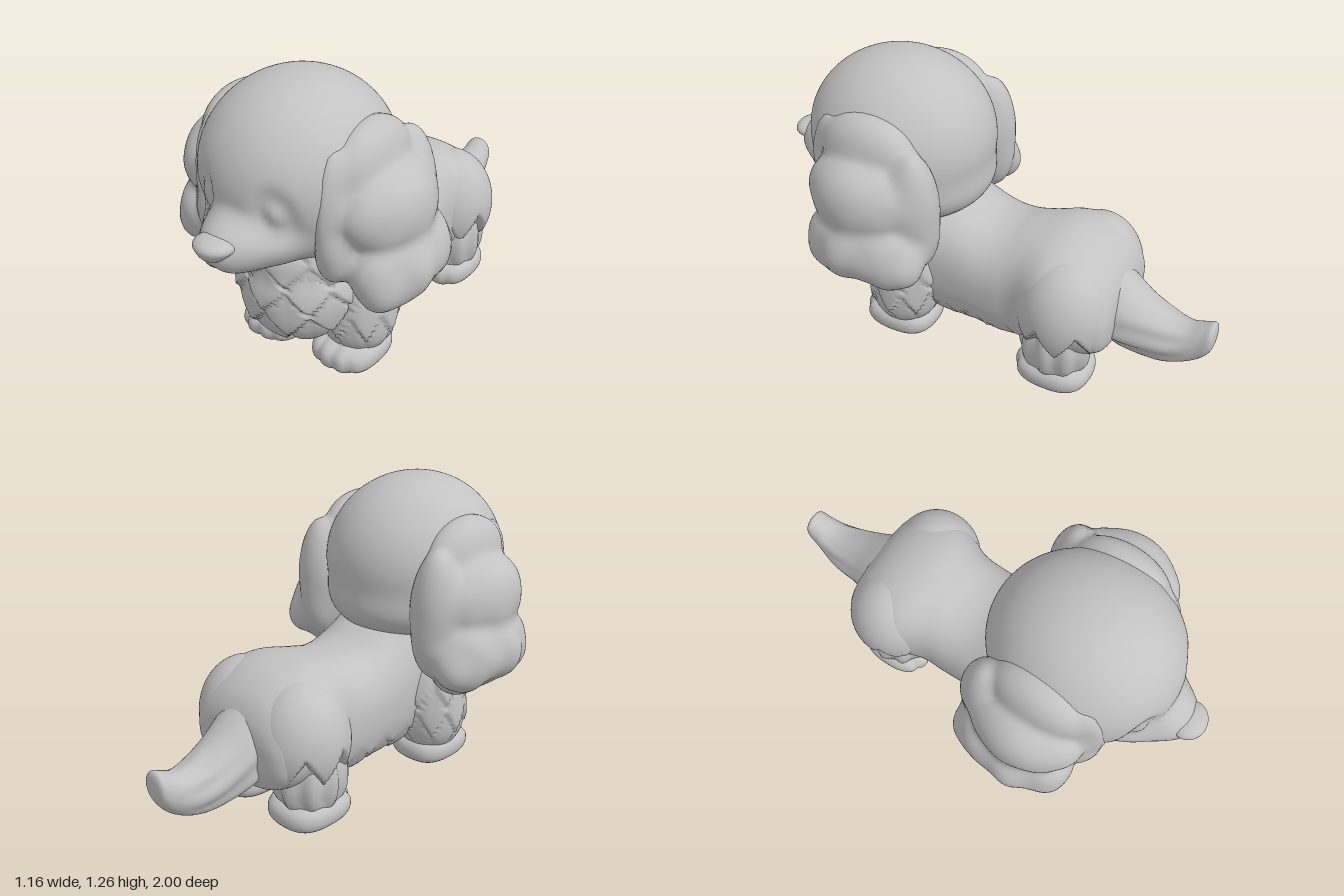
import * as THREE from 'three';
import { mergeVertices } from 'three/addons/utils/BufferGeometryUtils.js';

const { abs, sin, cos, exp, PI, hypot, atan2, sign, floor, min, max } = Math;
const clay = new THREE.MeshStandardMaterial({ color: 0xc2c2c2 });
clay.name = 'clay grey';

const frac = (t) => t - floor(t);
const smooth = (a, b, t) => THREE.MathUtils.smoothstep(t, a, b);

// Staggered rows of pointed tufts, upper over lower: u runs around, v downwards, result 0..1
function tufts(u, v) {
  for (let n = floor(v) - 1; ; n++) {
    const tip = abs(2 * frac(u + n / 2) - 1) ** 0.8;
    const left = n + 0.85 * tip - v;
    if (left > 0) return min(left / 0.2, max(1 - left / 1.8, 0)) * (0.5 + 0.5 * tip);
  }
}

function finish(name, geometry) {
  geometry.deleteAttribute('uv');
  geometry.deleteAttribute('normal');
  const merged = mergeVertices(geometry, 1e-5);
  merged.computeVertexNormals();
  const mesh = new THREE.Mesh(merged, clay);
  mesh.name = name;
  return mesh;
}

// Approximate distance to an ellipsoid [cx, cy, cz, rx, ry, rz]
function ellipsoid([cx, cy, cz, rx, ry, rz], p) {
  const x = (p.x - cx) / rx, y = (p.y - cy) / ry, z = (p.z - cz) / rz;
  const k0 = hypot(x, y, z), k1 = hypot(x / rx, y / ry, z / rz);
  return k1 < 1e-6 ? -min(rx, ry, rz) : (k0 * (k0 - 1)) / k1;
}

// Sphere stretched from a centre onto softly blended ellipsoids, plus surface relief
function blob(name, centre, parts, k, segs, relief = () => 0) {
  const g = new THREE.SphereGeometry(1, segs, floor(segs * 0.75));
  const pos = g.attributes.position, c = new THREE.Vector3(...centre);
  const d = new THREE.Vector3(), p = new THREE.Vector3();
  const field = (t) => {
    p.copy(c).addScaledVector(d, t);
    return parts.map((e) => ellipsoid(e, p)).reduce((a, b) => {
      const h = max(k - abs(a - b), 0) / k;
      return min(a, b) - h * h * k * 0.25;
    });
  };
  for (let i = 0; i < pos.count; i++) {
    d.fromBufferAttribute(pos, i).normalize();
    let lo = 0, hi = 1;
    for (let n = 0; n < 22; n++) {
      const t = (lo + hi) / 2;
      if (field(t) < 0) lo = t; else hi = t;
    }
    p.copy(c).addScaledVector(d, lo);
    p.addScaledVector(d, relief(p));
    pos.setXYZ(i, p.x, p.y, p.z);
  }
  return finish(name, g);
}

// Skin through cross-sections [z, top, bottom, halfWidth], front to back
function loft(name, sections, power, rows, cols, relief) {
  const at = (t) => {
    const f = min(t * (sections.length - 1), sections.length - 1 - 1e-6), i = floor(f), w = f - i;
    const s = (n) => sections[min(max(n, 0), sections.length - 1)];
    return [0, 1, 2, 3].map((c) => {
      const [a, b, e, g] = [s(i - 1)[c], s(i)[c], s(i + 1)[c], s(i + 2)[c]];
      return b + 0.5 * w * (e - a + w * (2 * a - 5 * b + 4 * e - g + w * (3 * (b - e) + g - a)));
    });
  };
  const verts = [], index = [];
  for (let i = 0; i <= rows; i++) {
    const [z, top, bottom, w] = at(i / rows);
    for (let j = 0; j <= cols; j++) {
      const a = ((j % cols) / cols) * PI * 2, e = 2 / power;
      const x = max(w, 0) * sign(cos(a)) * abs(cos(a)) ** e;
      const dy = ((top - bottom) / 2) * sign(sin(a)) * abs(sin(a)) ** e;
      const mid = (top + bottom) / 2, s = 1 + relief(x, mid + dy, z, a);
      verts.push(x * s, mid + dy * s, z);
      if (i < rows && j < cols) {
        const q = i * (cols + 1) + j, r = q + cols + 1;
        index.push(q, r, q + 1, q + 1, r, r + 1);
      }
    }
  }
  const g = new THREE.BufferGeometry();
  g.setAttribute('position', new THREE.Float32BufferAttribute(verts, 3));
  g.setIndex(index);
  return finish(name, g);
}

// Flat-soled paw with toe grooves at the front
function paw(name, x, z) {
  const g = new THREE.SphereGeometry(1, 56, 24), pos = g.attributes.position;
  for (let i = 0; i < pos.count; i++) {
    const [a, b, c] = [pos.getX(i), pos.getY(i), pos.getZ(i)];
    const n = (abs(a) ** 3 + abs(b) ** 3 + abs(c) ** 3) ** (1 / 3);
    const px = (a / n) * sign(x);
    const groove = [-0.45, 0.08, 0.6].reduce((s, o) => s + exp(-(((px - o) / 0.1) ** 2)), 0);
    const dent = 1 - 0.07 * groove * smooth(0.2, 0.6, c), r = dent / (0.7 * n + 0.3);
    pos.setXYZ(i, x + a * r * 0.145, 0.07 + (b / n) * 0.07 * (b > 0 ? dent : 1), z + c * r * 0.167);
  }
  return finish(name, g);
}

export function createModel() {
  const model = new THREE.Group();
  model.name = 'dog';
  const add = (mesh) => model.add(mesh);

  // Long body with a furry belly fringe
  add(loft('body', [
    [0.66, 0.45, 0.45, 0], [0.64, 0.6, 0.28, 0.13], [0.56, 0.7, 0.19, 0.22], [0.45, 0.74, 0.14, 0.25],
    [0.25, 0.74, 0.1, 0.265], [0.12, 0.67, 0.09, 0.26], [0, 0.617, 0.1, 0.26], [-0.1, 0.61, 0.09, 0.26],
    [-0.2, 0.633, 0.1, 0.265], [-0.33, 0.655, 0.14, 0.315], [-0.45, 0.63, 0.16, 0.315],
    [-0.54, 0.575, 0.17, 0.285], [-0.59, 0.51, 0.2, 0.25], [-0.612, 0.44, 0.27, 0.18], [-0.616, 0.36, 0.36, 0],
  ], 2.4, 90, 72, (x, y, z) => 0.1 * (1 - smooth(0.14, 0.27, y)) * (tufts(z * 7, -y * 9 - abs(x) * 3) - 0.4)));

  // Chest bib of layered tufts
  add(blob('chestFur', [0, 0.42, 0.45], [
    [0, 0.4, 0.45, 0.265, 0.24, 0.245], [0, 0.56, 0.46, 0.22, 0.15, 0.23], [0, 0.31, 0.48, 0.2, 0.155, 0.19],
  ], 0.05, 104, (p) => 0.034 * smooth(0.4, 0.55, p.z) * (tufts(atan2(p.x, p.z - 0.3) * 2.1, -p.y * 9) - 0.35)));

  // Tail sweeping back to an upturned tip
  add(loft('tail', [
    [-0.48, 0.4, 0.4, 0], [-0.5, 0.57, 0.24, 0.14], [-0.6, 0.5, 0.18, 0.145], [-0.7, 0.425, 0.16, 0.125],
    [-0.8, 0.375, 0.155, 0.105], [-0.88, 0.362, 0.17, 0.085], [-0.94, 0.383, 0.205, 0.07],
    [-0.98, 0.4, 0.25, 0.062], [-0.996, 0.38, 0.29, 0.045], [-1, 0.335, 0.335, 0],
  ], 2.1, 56, 56, (x, y, z, a) => 0.05 * sin(a * 8 + z * 14) * (1 - smooth(0.8, 0.95, -z)) * (1 - smooth(0.3, 0.42, y))));

  // Head with a tapering muzzle, sunken closed eyes and a small mouth
  const face = (p) => {
    if (p.z < 0.6) return 0;
    const dx = abs(p.x) - 0.165, dy = p.y - 0.87;
    const e = hypot((dx + dy * 0.2) / 0.065, (dy - dx * 0.2) / 0.105);
    const mouth = exp(-((p.x / 0.02) ** 2) - ((p.y - 0.66) / 0.025) ** 2);
    return -0.028 * exp(-(e ** 4)) + 0.024 * exp(-((e * 1.8) ** 2)) - 0.012 * mouth;
  };
  add(blob('head', [0, 0.84, 0.52], [
    [0, 0.9, 0.44, 0.37, 0.36, 0.4], [0, 0.745, 0.4, 0.33, 0.175, 0.355],
    [0, 0.74, 0.71, 0.205, 0.135, 0.18], [0, 0.735, 0.835, 0.115, 0.105, 0.125],
  ], 0.06, 104, face));

  // Nose, wide at the top and running back into the muzzle
  add(blob('nose', [0, 0.765, 0.93],
    [[0, 0.772, 0.925, 0.083, 0.035, 0.073], [0, 0.752, 0.92, 0.058, 0.039, 0.068]], 0.02, 36));

  for (const s of [1, -1]) {
    const side = s > 0 ? 'left' : 'right';
    const flip = (list) => list.map(([x, ...rest]) => [x * s, ...rest]);
    const around = (p, x, z, n) => (atan2(p.x * s - x, p.z - z) * n) / (2 * PI);

    // Drooping ear built of rounded locks
    add(blob(side + 'Ear', [0.36 * s, 0.76, 0.4], flip([
      [0.295, 0.97, 0.41, 0.115, 0.165, 0.215],
      [0.36, 0.82, 0.4, 0.165, 0.18, 0.25],
      [0.425, 0.83, 0.41, 0.112, 0.14, 0.16],
      [0.43, 0.77, 0.4, 0.1, 0.14, 0.18],
      [0.41, 0.61, 0.38, 0.155, 0.17, 0.26],
      [0.46, 0.59, 0.4, 0.118, 0.12, 0.15],
      [0.44, 0.55, 0.52, 0.1, 0.11, 0.11],
      [0.44, 0.56, 0.23, 0.1, 0.11, 0.11],
      [0.37, 0.505, 0.36, 0.12, 0.112, 0.18],
      [0.28, 0.83, 0.595, 0.062, 0.25, 0.105],
      [0.29, 0.69, 0.59, 0.08, 0.13, 0.105],
      [0.33, 0.76, 0.2, 0.11, 0.28, 0.11],
    ]), 0.03, 92, (p) => 0.008 * sin(p.z * 34 + sin(p.y * 9) * 1.5) * (1 - smooth(0.6, 0.85, p.y))));

    // Front leg with shaggy fur
    add(blob(side + 'FrontLeg', [0.2 * s, 0.28, 0.34], flip([
      [0.2, 0.36, 0.33, 0.155, 0.24, 0.165], [0.195, 0.23, 0.345, 0.155, 0.19, 0.15],
    ]), 0.05, 72, (p) => 0.026 * smooth(0.1, 0.18, p.y) * (tufts(around(p, 0.2, 0.34, 8), -p.y * 7) - 0.35)));
    add(paw(side + 'FrontPaw', 0.183 * s, 0.37));

    // Hind leg under a haunch with a pointed fur hem
    add(blob(side + 'HindLeg', [0.19 * s, 0.2, -0.385], flip([[0.19, 0.22, -0.385, 0.14, 0.2, 0.155]]), 0.05, 48,
      (p) => 0.01 * sin(around(p, 0.19, -0.385, 9) * 2 * PI) * smooth(0.08, 0.16, p.y)));
    add(blob(side + 'Haunch', [0.165 * s, 0.38, -0.4], flip([[0.165, 0.375, -0.405, 0.198, 0.245, 0.2]]), 0.05, 84, (p) => {
      const hem = 0.37 - 0.14 * abs(2 * frac(around(p, 0.165, -0.4, 7)) - 1);
      return -0.035 * (1 - smooth(hem - 0.03, hem + 0.02, p.y));
    }));
    add(paw(side + 'HindPaw', 0.183 * s, -0.383));
  }
  return model;
}
